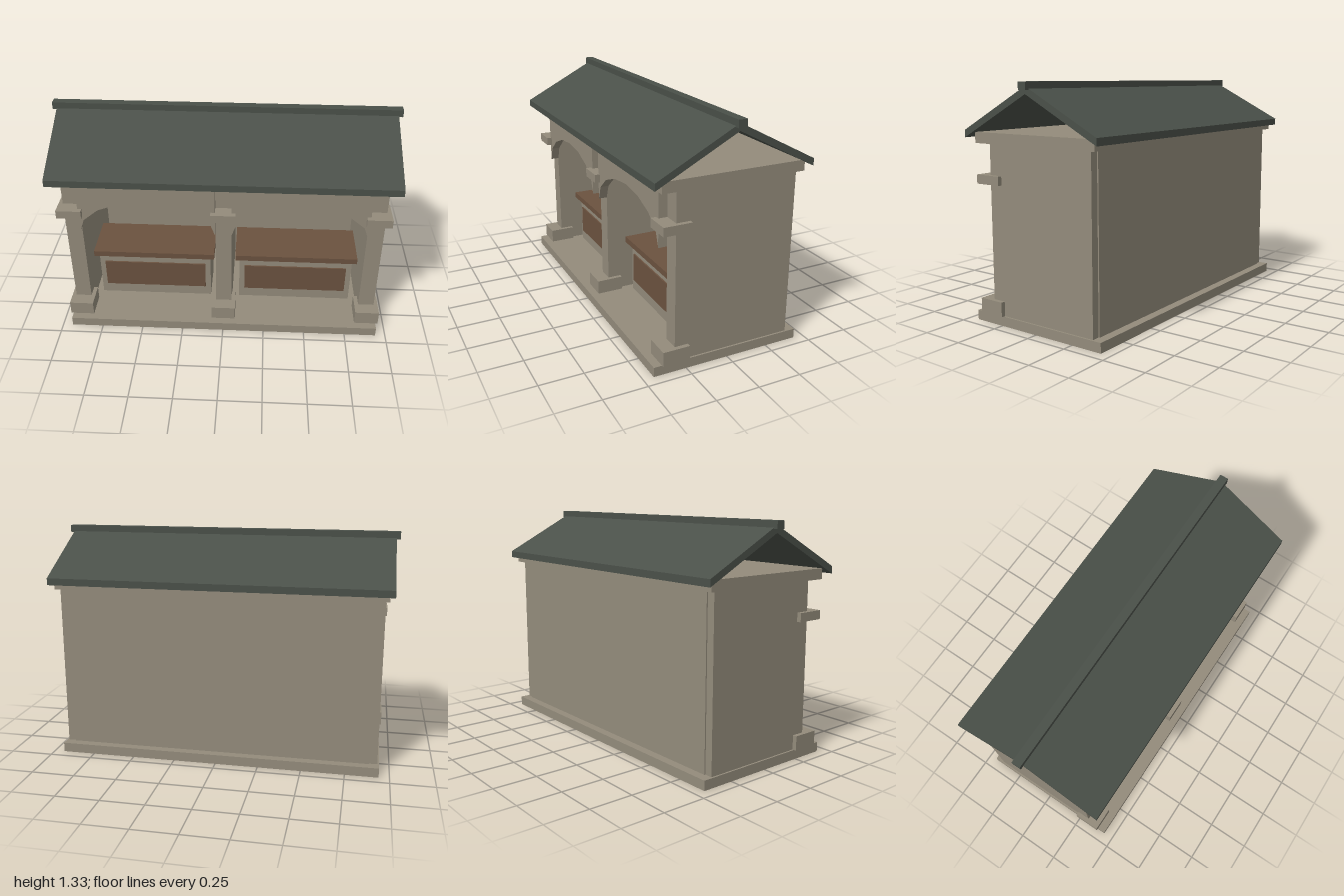
import * as THREE from 'three';

export function createModel() {
  const model = new THREE.Group();
  model.name = 'shelter';
  const mat = (name, color) => {
    const m = new THREE.MeshStandardMaterial({ color });
    m.name = name;
    return m;
  };
  const stone = mat('stone', 0x938b7b);
  const wood = mat('wood', 0x6b523f);
  const slate = mat('slate', 0x4a5049);

  const add = (name, geometry, material, parent = model) => {
    const mesh = new THREE.Mesh(geometry, material);
    mesh.name = name;
    parent.add(mesh);
    return mesh;
  };
  // Box given by its limits on each axis
  const box = (name, [x0, x1], [y0, y1], [z0, z1], material, parent) => {
    const g = new THREE.BoxGeometry(x1 - x0, y1 - y0, z1 - z0);
    g.translate((x0 + x1) / 2, (y0 + y1) / 2, (z0 + z1) / 2);
    return add(name, g, material, parent);
  };

  // Plinth, back wall and ceiling slab
  box('plinth', [-0.94, 0.94], [0, 0.055], [-0.44, 0.44], stone);
  box('backWall', [-0.885, 0.885], [0.055, 1], [-0.39, -0.325], stone);
  box('ceilingSlab', [-0.95, 0.95], [1, 1.06], [-0.42, 0.405], stone);

  // Side walls and partition, each ending in a pier with a foot and a collar
  for (const [name, x, half] of [['right', -0.8825, 0.0475], ['middle', 0, 0.0475], ['left', 0.8825, 0.0475]]) {
    const wall = new THREE.Group();
    wall.name = name + 'Wall';
    model.add(wall);
    box('wall', [x - half, x + half], [0.055, 1], [-0.383, 0.315], stone, wall);
    box('pierFoot', [x - 0.072, x + 0.072], [0.055, 0.138], [0.237, 0.393], stone, wall);
    box('pierCollar', [x - 0.072, x + 0.072], [0.78, 0.83], [0.235, 0.396], stone, wall);
  }

  // Two bays, each with an arch and a bench
  for (const x of [-0.441, 0.441]) {
    const bay = new THREE.Group();
    bay.name = x < 0 ? 'rightBay' : 'leftBay';
    bay.position.x = x;
    model.add(bay);

    // Arched panel: rectangle with a faceted half ellipse cut from below
    const w = 0.394, spring = 0.67;
    const shape = new THREE.Shape();
    shape.moveTo(w, 1);
    shape.lineTo(-w, 1);
    for (let i = 0; i <= 8; i++) {
      const a = Math.PI * (1 - i / 8);
      shape.lineTo(w * Math.cos(a), spring + 0.216 * Math.sin(a));
    }
    shape.closePath();
    const arch = new THREE.ExtrudeGeometry(shape, { depth: 0.05, bevelEnabled: false });
    arch.translate(0, 0, 0.315);
    add('archPanel', arch, stone, bay);

    // Bench
    box('benchBase', [-0.35, 0.35], [0.055, 0.366], [-0.08, 0.17], stone, bay);
    box('benchSeat', [-0.375, 0.375], [0.366, 0.402], [-0.1, 0.205], wood, bay);
    box('benchPanel', [-0.317, 0.317], [0.125, 0.303], [0.17, 0.179], wood, bay);
  }

  // Gabled roof: chevron section with upright eaves, open at the ends
  const section = new THREE.Shape([
    [-0.455, 1.03], [0, 1.267], [0.455, 1.03], [0.455, 1.07], [0, 1.307], [-0.455, 1.07],
  ].map(([z, y]) => new THREE.Vector2(z, y)));
  const roof = new THREE.ExtrudeGeometry(section, { depth: 1.954, bevelEnabled: false });
  roof.translate(0, 0, -0.977);
  roof.rotateY(Math.PI / 2);
  add('roof', roof, slate);
  box('ridgeCap', [-1, 1], [1.288, 1.33], [-0.025, 0.025], slate);

  return model;
}
